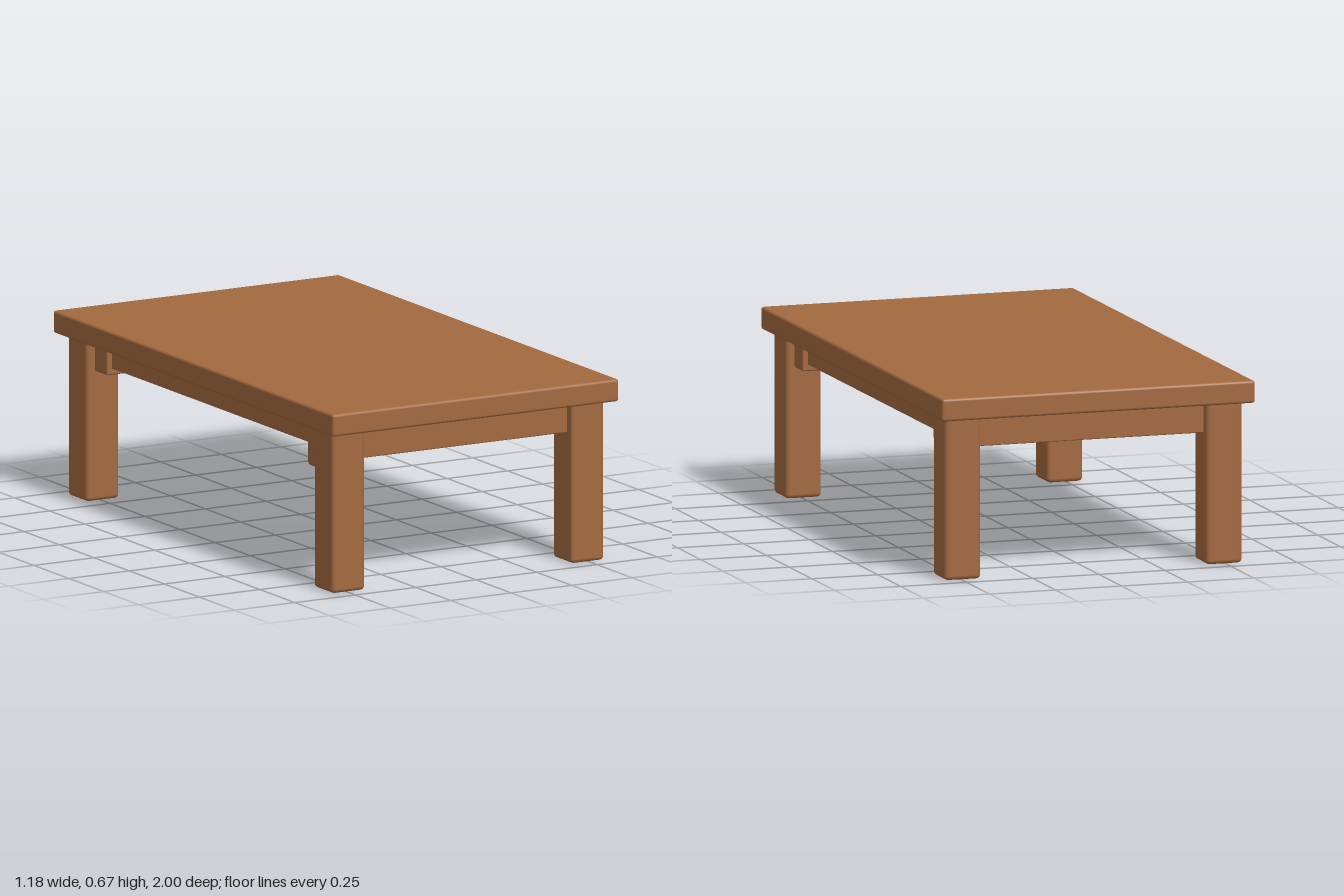
import * as THREE from 'three';
import { RoundedBoxGeometry } from 'three/addons/geometries/RoundedBoxGeometry.js';

export function createModel() {
  const table = new THREE.Group();
  table.name = 'coffeeTable';

  const wood = new THREE.MeshStandardMaterial({ color: 0xa3693f });
  wood.name = 'warm brown wood';

  // Softly bevelled board given by its min and max on each axis
  function board(name, [x0, x1], [y0, y1], [z0, z1], radius) {
    const geometry = new RoundedBoxGeometry(x1 - x0, y1 - y0, z1 - z0, 2, radius);
    const mesh = new THREE.Mesh(geometry, wood);
    mesh.name = name;
    mesh.position.set((x0 + x1) / 2, (y0 + y1) / 2, (z0 + z1) / 2);
    table.add(mesh);
    return mesh;
  }

  // Range on one side of the centre, mirrored when sign is -1
  const side = (sign, inner, outer) => (sign > 0 ? [inner, outer] : [-outer, -inner]);

  board('tableTop', [-0.592, 0.592], [0.588, 0.67], [-1, 1], 0.01);

  for (const sz of [1, -1]) {
    const end = sz > 0 ? 'front' : 'back';

    // End apron set between the legs
    board(end + 'Apron', [-0.44, 0.44], [0.475, 0.592], side(sz, 0.865, 0.91), 0.004);

    for (const sx of [1, -1]) {
      const corner = end + (sx > 0 ? 'Left' : 'Right');
      board(corner + 'Leg', side(sx, 0.427, 0.562), [0, 0.6], side(sz, 0.807, 0.947), 0.015);
      // Small block joining leg and side rail
      board(corner + 'Block', side(sx, 0.45, 0.53), [0.477, 0.592], side(sz, 0.718, 0.812), 0.006);
    }
  }

  // Long rails between the blocks
  for (const sx of [1, -1]) {
    board(sx > 0 ? 'leftRail' : 'rightRail', side(sx, 0.472, 0.51), [0.5, 0.592], [-0.73, 0.73], 0.004);
  }

  return table;
}
